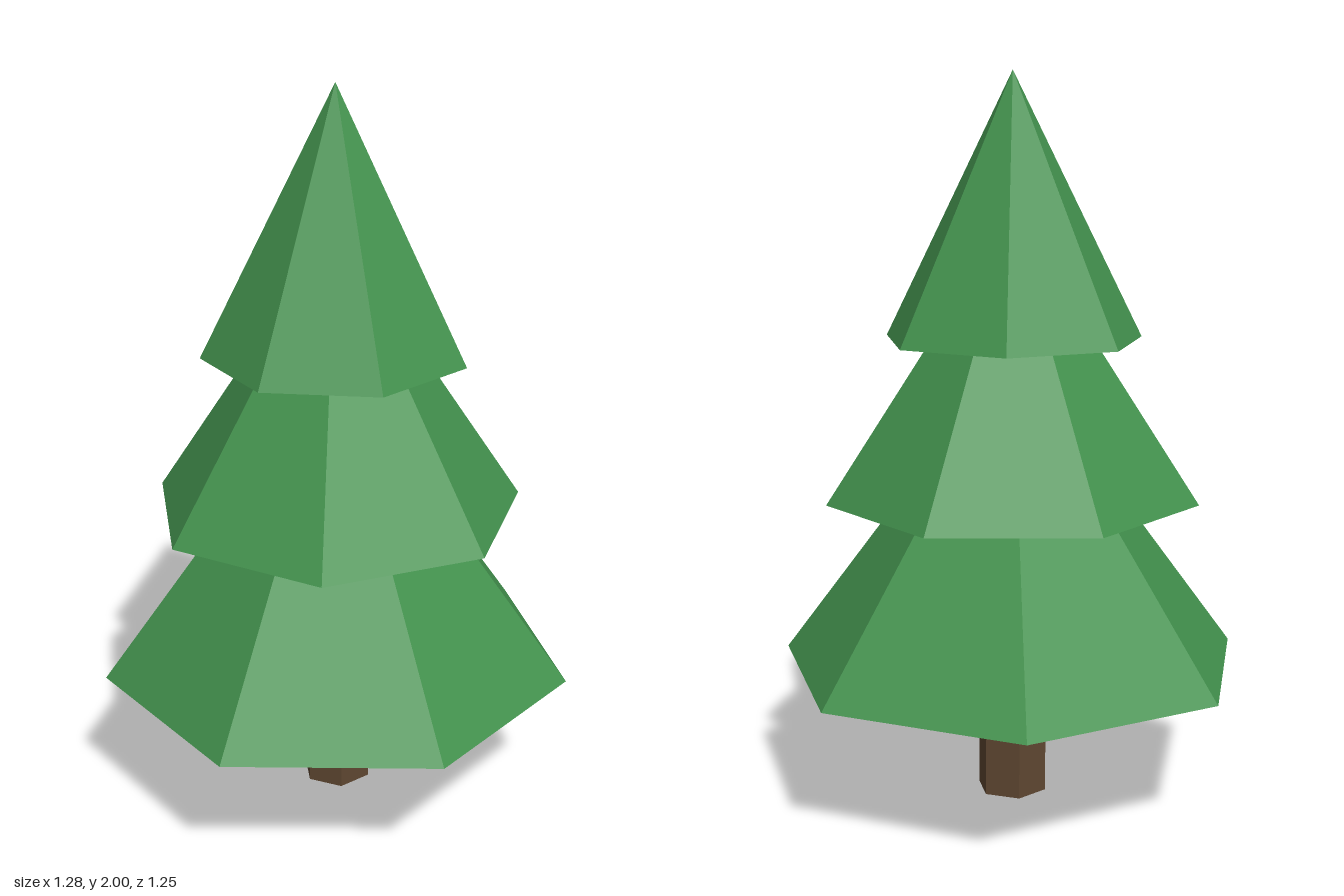
import * as THREE from 'three';

export function createModel() {
  const tree = new THREE.Group();
  tree.name = 'pineTree';

  const needleGreen = new THREE.MeshStandardMaterial({ name: 'needleGreen', color: 0x43924e, flatShading: true });
  const barkBrown = new THREE.MeshStandardMaterial({ name: 'barkBrown', color: 0x5f4731, flatShading: true });

  // The trunk axis sits slightly forward, because the lowest tier points backwards
  const axisZ = 0.032;

  const add = (name, geometry, material, baseY, height, turn) => {
    const mesh = new THREE.Mesh(geometry, material);
    mesh.name = name;
    mesh.position.set(0, baseY + height / 2, axisZ);
    mesh.rotation.y = turn;
    tree.add(mesh);
  };

  // Hexagonal trunk, running a little way into the lowest tier
  const trunkHeight = 0.42;
  add('trunk', new THREE.CylinderGeometry(0.099, 0.099, trunkHeight, 6), barkBrown, 0, trunkHeight, 0);

  // Seven-sided foliage tiers, each turned a little further than the one below
  const tiers = [
    { name: 'lowerFoliage', radius: 0.656, baseY: 0.38, height: 0.88 },
    { name: 'middleFoliage', radius: 0.516, baseY: 0.85, height: 0.78 },
    { name: 'upperFoliage', radius: 0.361, baseY: 1.286, height: 0.714 },
  ];
  tiers.forEach(({ name, radius, baseY, height }, i) => {
    add(name, new THREE.ConeGeometry(radius, height, 7), needleGreen, baseY, height, Math.PI + i * 0.4);
  });

  return tree;
}
